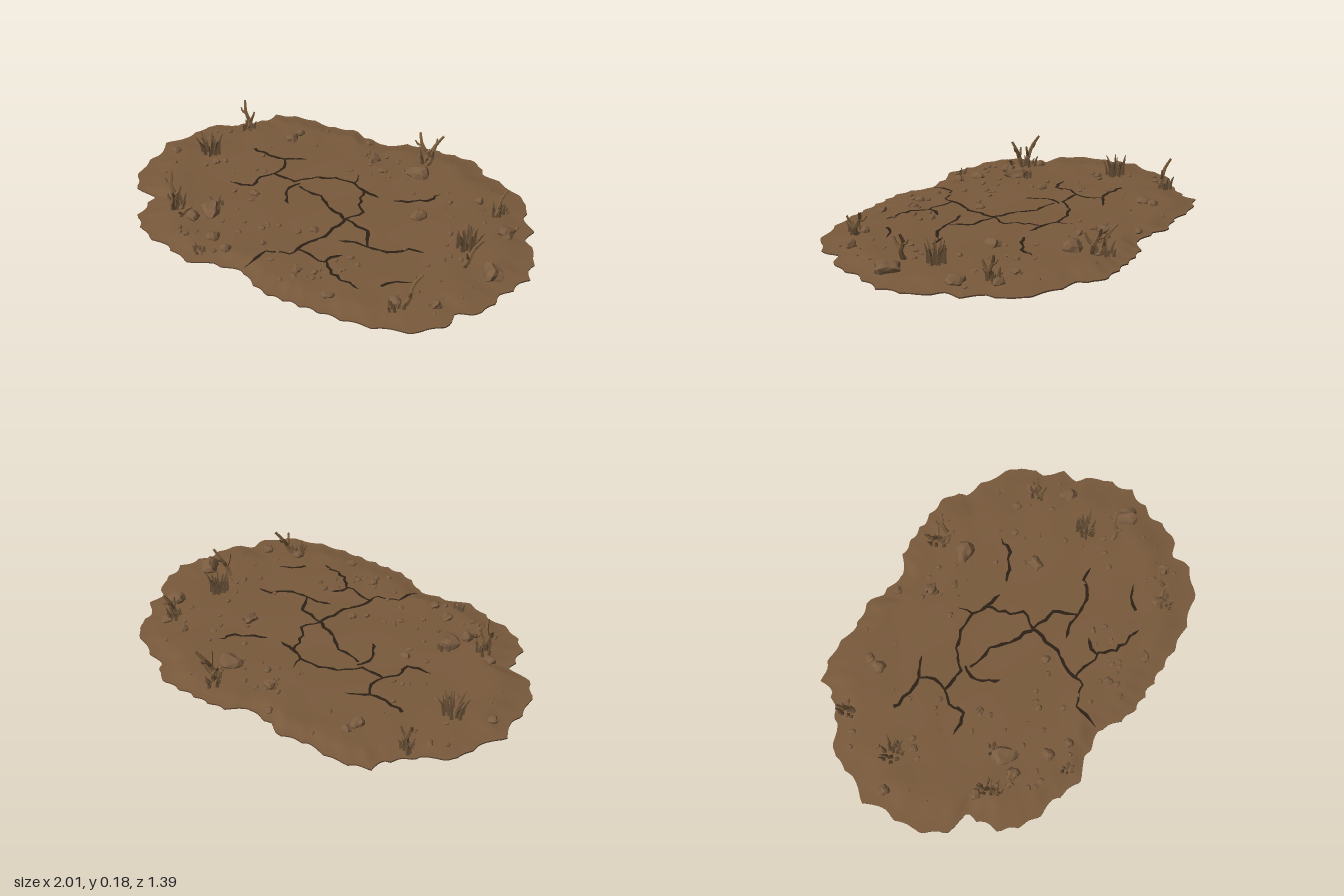
import * as THREE from 'three';
import { mergeGeometries } from 'three/addons/utils/BufferGeometryUtils.js';

const paint = (name, color, extra = {}) =>
  Object.assign(new THREE.MeshStandardMaterial({ color, ...extra }), { name });

// Seeded random numbers
let seed = 7;
const rand = () => {
  seed = (seed * 16807) % 2147483647;
  return seed / 2147483647;
};
const between = (a, b) => a + (b - a) * rand();

// Patch outline as x, z pairs
const outline = [
  [1, 0], [.97, -.12], [.96, -.17], [.88, -.24], [.87, -.33], [.79, -.4], [.77, -.5], [.62, -.58], [.47, -.62],
  [.41, -.69], [.22, -.68], [.03, -.65], [-.05, -.58], [-.19, -.59], [-.24, -.62], [-.39, -.58], [-.56, -.58],
  [-.69, -.53], [-.71, -.45], [-.8, -.34], [-.93, -.24], [-.94, -.13], [-1, -.01], [-.97, .11], [-.96, .25],
  [-.88, .38], [-.75, .4], [-.71, .57], [-.58, .65], [-.45, .66], [-.32, .7], [-.21, .65], [-.07, .62], [.09, .69],
  [.22, .68], [.33, .67], [.43, .66], [.59, .63], [.78, .55], [.86, .43], [.85, .37], [.94, .3], [.95, .17],
];
const polar = outline
  .map(([x, z]) => ({ a: Math.atan2(z, x), r: Math.hypot(x, z) }))
  .sort((p, q) => p.a - q.a);

function rimRadius(angle) {
  const n = polar.length;
  let i = polar.findIndex((p) => p.a > angle);
  if (i < 0) i = n;
  const p = polar[(i + n - 1) % n], q = polar[i % n];
  const turn = 2 * Math.PI;
  const t = ((angle - p.a + turn) % turn) / ((q.a - p.a + turn) % turn);
  const scallop = .022 * Math.abs(Math.sin(angle * 24 + Math.sin(angle * 5)));
  return THREE.MathUtils.lerp(p.r, q.r, t) * (1.007 - scallop);
}

// Ground height: thin rim, gently lumpy middle
function groundY(x, z) {
  const s = Math.hypot(x, z) / rimRadius(Math.atan2(z, x));
  const rise = THREE.MathUtils.smoothstep(1 - s, 0, .16);
  const lumps = Math.sin(x * 9 + z * 4) * Math.cos(z * 11 - x * 3) * .003
    + Math.sin(x * 21 + 1) * Math.sin(z * 19) * .003 * THREE.MathUtils.smoothstep(s, .5, .85);
  return .006 + rise * (.015 + lumps);
}

// Surface through scaled copies of the outline
function ringSurface(rings, segments = 300) {
  const pos = [], index = [];
  rings.forEach(([s, heightAt]) => {
    for (let j = 0; j < segments; j++) {
      const a = (j / segments) * 2 * Math.PI - Math.PI;
      const r = s * rimRadius(a), x = r * Math.cos(a), z = r * Math.sin(a);
      pos.push(x, heightAt(x, z), z);
    }
  });
  for (let i = 0; i < rings.length - 1; i++)
    for (let j = 0; j < segments; j++) {
      const k = (j + 1) % segments, a = i * segments, b = a + segments;
      index.push(a + j, a + k, b + j, a + k, b + k, b + j);
    }
  return indexed(pos, index);
}

function indexed(pos, index) {
  const g = new THREE.BufferGeometry();
  g.setAttribute('position', new THREE.Float32BufferAttribute(pos, 3));
  g.setIndex(index);
  g.computeVertexNormals();
  return g;
}

// Jagged ribbon lying on the ground
function crack(points) {
  const path = [];
  points.forEach(([x, z], i) => {
    path.push([x, z]);
    const next = points[i + 1];
    if (!next) return;
    const steps = Math.max(2, Math.round(Math.hypot(next[0] - x, next[1] - z) / .03));
    for (let k = 1; k < steps; k++)
      path.push([x + (next[0] - x) * k / steps + between(-.01, .01),
        z + (next[1] - z) * k / steps + between(-.01, .01)]);
  });
  const pos = [], index = [];
  path.forEach(([x, z], i) => {
    const a = path[Math.max(0, i - 1)], b = path[Math.min(path.length - 1, i + 1)];
    const len = Math.hypot(b[0] - a[0], b[1] - a[1]) || 1;
    const w = i === path.length - 1 ? .001 : between(.004, .009);
    const nx = -(b[1] - a[1]) / len * w, nz = (b[0] - a[0]) / len * w;
    for (const d of [1, -1]) pos.push(x + nx * d, groundY(x, z) + .0018, z + nz * d);
    if (i) index.push(2 * i - 2, 2 * i, 2 * i - 1, 2 * i - 1, 2 * i, 2 * i + 1);
  });
  return indexed(pos, index);
}

// Chunky stone partly sunk in the soil, kept above the underside
function rock(x, z, r, detail = 1) {
  const g = new THREE.IcosahedronGeometry(1, detail), p = g.attributes.position;
  const v = new THREE.Vector3(), k = between(0, 9);
  const size = [r * between(.85, 1.1), r * between(.5, .7), r * between(.75, 1)], y = groundY(x, z) + r * .2;
  for (let i = 0; i < p.count; i++) {
    v.fromBufferAttribute(p, i);
    v.multiplyScalar(1 + .16 * Math.sin(v.x * 4 + k) + .14 * Math.sin(v.z * 5 + v.y * 3 + k * 2));
    p.setXYZ(i, v.x * size[0], Math.max(v.y * size[1], .003 - y), v.z * size[2]);
  }
  g.rotateY(between(0, 6));
  g.translate(x, y, z);
  g.computeVertexNormals();
  return g;
}

// Tapering stem along a curve
function stem(points, r0, r1, sides = 5, steps = 6) {
  const curve = new THREE.CatmullRomCurve3(points.map((p) => new THREE.Vector3(...p)));
  const g = new THREE.TubeGeometry(curve, steps, 1, sides), p = g.attributes.position;
  const v = new THREE.Vector3();
  for (let i = 0; i < p.count; i++) {
    const t = Math.floor(i / (sides + 1)) / steps, c = curve.getPointAt(t);
    v.fromBufferAttribute(p, i).sub(c).multiplyScalar(r0 + (r1 - r0) * t).add(c);
    p.setXYZ(i, v.x, v.y, v.z);
  }
  return g;
}

// Ring of dry blades leaning outwards
function tuft(x, z, spread, height, count) {
  return Array.from({ length: count }, (_, i) => {
    const a = i * 2.4 + between(-.4, .4), d = spread * Math.sqrt((i + .5) / count) * .75;
    const bx = x + Math.cos(a) * d, bz = z + Math.sin(a) * d, y = groundY(bx, bz) - .004;
    const h = height * between(.5, 1), lean = between(.05, .4) * h;
    const dx = Math.cos(a) * lean, dz = Math.sin(a) * lean;
    return stem([[bx, y, bz], [bx + dx * .3, y + h * .6, bz + dz * .3], [bx + dx, y + h, bz + dz]],
      between(.009, .014), .002, 4, 4);
  });
}

// Forked dead twig: main stem plus two side shoots
function twig(x, z, tipX, tipZ, h) {
  const y = groundY(x, z) - .004;
  const at = (t, up, side = 0) => [x + tipX * t - tipZ * side, y + h * up, z + tipZ * t + tipX * side];
  return [
    stem([at(0, 0), at(.25, .3, .15), at(.5, .62, -.08), at(1, 1)], .013, .006),
    stem([at(.25, .36, .1), at(.15, .5, .35), at(.1, .72, .5)], .009, .004),
    stem([at(.5, .58, -.05), at(.7, .66, -.3), at(.8, .8, -.4)], .007, .003),
  ];
}

export function createModel() {
  const model = new THREE.Group();
  const soil = paint('soil brown', 0x795a3c);
  const under = paint('dark underside', 0x5f4735);
  const crackDark = paint('crack dark', 0x2c2016, { side: THREE.DoubleSide });
  const stone = paint('earthy stone', 0x7a5c40, { flatShading: true });
  const dryGrass = paint('dry grass', 0x6b5238, { flatShading: true });
  const wood = paint('dead wood', 0x7a5c3c, { flatShading: true });
  const add = (name, geometry, material) => {
    const mesh = new THREE.Mesh(Array.isArray(geometry) ? mergeGeometries(geometry) : geometry, material);
    mesh.name = name;
    model.add(mesh);
  };

  // Ground patch
  const flat = () => 0;
  add('groundTop', ringSurface(Array.from({ length: 37 }, (_, i) => [i / 36, groundY])), soil);
  add('groundRim', ringSurface([[1, groundY], [1, flat]]), under);
  add('groundBottom', ringSurface([[1, flat], [0, flat]]), under);

  // Branching cracks
  add('cracks', [
    [[-.58, -.18], [-.48, -.165], [-.4, -.18], [-.36, -.12], [-.37, -.05], [-.41, .01], [-.4, .09], [-.51, .12]],
    [[-.4, -.18], [-.36, -.21], [-.31, -.24]],
    [[-.37, -.05], [-.25, -.05], [-.18, -.14], [-.1, -.18], [0, -.19], [.08, -.16], [.16, -.15]],
    [[0, -.19], [-.02, -.26]],
    [[-.22, -.05], [-.24, .03], [-.17, .12]],
    [[-.21, -.03], [-.08, -.02], [0, .04], [.08, .06], [.12, .09]],
    [[.07, -.16], [.11, -.05], [.16, -.01], [.12, .08], [.11, .2], [.06, .34], [.05, .43], [-.05, .47], [-.07, .6]],
    [[.06, .38], [.15, .39], [.22, .39], [.28, .45], [.43, .47]],
    [[.21, .39], [.25, .31]],
    [[.12, .08], [.25, .1], [.31, .2], [.42, .17], [.47, .11], [.54, .1]],
    [[.31, .2], [.25, .2], [.18, .23]],
    [[.23, -.17], [.31, -.22], [.36, -.25], [.39, -.33]],
    [[.5, .4], [.54, .34], [.6, .31]],
  ].map(crack), crackDark);

  // Larger stones
  add('stones', [
    [-.48, -.36, .034], [.22, -.42, .056], [.39, -.12, .038], [.86, .07, .052], [.78, -.23, .044], [.75, .38, .032],
    [-.44, .36, .05], [-.48, .44, .038], [-.31, .51, .034], [-.21, .55, .026], [.14, .51, .024], [.34, .57, .028],
    [-.35, .14, .022], [.04, .22, .022], [-.9, .04, .026], [-.03, -.42, .034], [.06, -.35, .022], [-.13, -.54, .022],
    [.57, -.38, .024], [.69, -.38, .03], [.6, .45, .03], [-.67, .02, .022], [-.66, .37, .03], [-.47, -.42, .024],
  ].map((r) => rock(...r)), stone);

  // Scattered pebbles, thicker towards the rim
  add('pebbles', Array.from({ length: 90 }, () => {
    const a = between(-Math.PI, Math.PI), r = rimRadius(a) * between(.42, .93);
    return rock(r * Math.cos(a), r * Math.sin(a), between(.008, .019), 0);
  }), stone);

  // Dry grass tufts
  add('grassTufts', [
    [-.75, -.04, .065, .1, 14], [.68, -.04, .06, .11, 16], [-.73, -.33, .045, .07, 8], [.68, -.34, .045, .07, 8],
    [.18, -.56, .06, .06, 9], [-.6, .41, .06, .07, 9], [.62, .48, .05, .06, 7], [-.31, .62, .035, .035, 6],
    [-.03, -.41, .035, .04, 5], [-.45, .3, .035, .045, 6],
  ].flatMap((t) => tuft(...t)), dryGrass);

  // Dead twigs
  add('twigs', [
    [.21, -.52, .05, -.07, .15], [.2, -.54, -.07, -.05, .13], [-.71, -.31, -.05, -.04, .15], [-.6, .43, -.05, -.06, .16],
    [-.59, .44, .03, .04, .13], [-.54, .46, .06, -.02, .06], [.64, .45, .05, -.07, .14], [.68, -.32, .03, -.05, .13],
    [.73, .09, .07, -.04, .15],
  ].flatMap((t) => twig(...t)), wood);

  return model;
}
